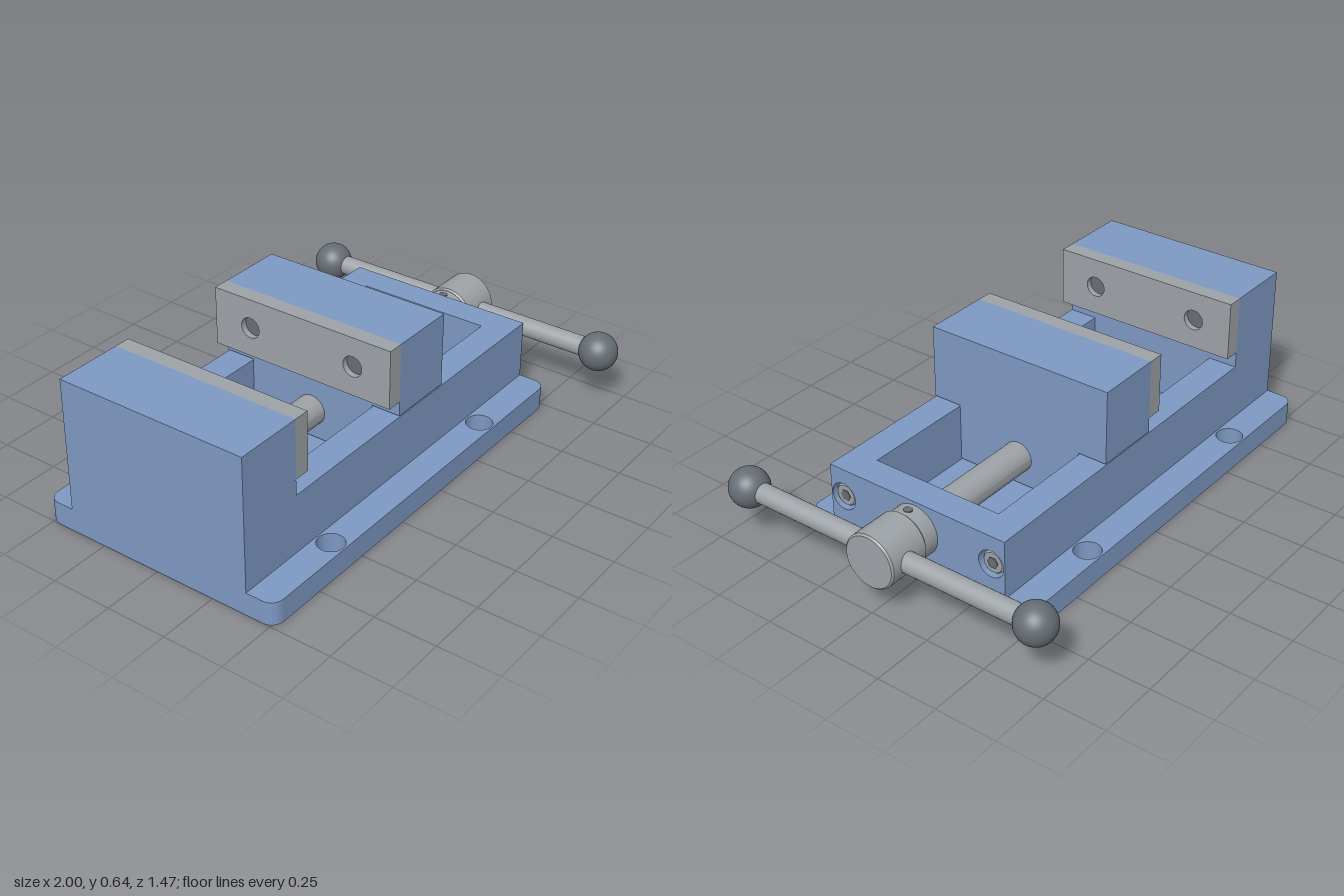
import * as THREE from 'three';
import { toCreasedNormals } from 'three/addons/utils/BufferGeometryUtils.js';

export function createModel() {
  const model = new THREE.Group();
  model.name = 'benchVise';
  const material = (name, color) => {
    const m = new THREE.MeshStandardMaterial({ color });
    m.name = name;
    return m;
  };
  const blue = material('bluePaint', 0x7d98c2);
  const steel = material('steel', 0x9da2a6);
  const dark = material('darkSteel', 0x666d74);

  const add = (name, geometry, mat, x = 0, y = 0, z = 0) => {
    const mesh = new THREE.Mesh(geometry, mat);
    mesh.name = name;
    mesh.position.set(x, y, z);
    model.add(mesh);
    return mesh;
  };
  // Box given by its limits
  const block = (name, mat, x0, x1, y0, y1, z0, z1) =>
    add(name, new THREE.BoxGeometry(x1 - x0, y1 - y0, z1 - z0), mat,
      (x0 + x1) / 2, (y0 + y1) / 2, (z0 + z1) / 2);
  const extrude = (shape, depth) => toCreasedNormals(
    new THREE.ExtrudeGeometry(shape, { depth, bevelEnabled: false, curveSegments: 24 }), 0.6);
  const hole = (shape, x, y, r) => {
    const path = new THREE.Path();
    path.absarc(x, y, r, 0, Math.PI * 2, true);
    shape.holes.push(path);
  };
  // Upright slab facing x, with a pair of round holes
  const drilledSlab = (name, mat, x0, x1, y0, y1, holeZ, holeY, r) => {
    const s = new THREE.Shape();
    s.moveTo(-0.4, y0);
    s.lineTo(0.4, y0);
    s.lineTo(0.4, y1);
    s.lineTo(-0.4, y1);
    s.closePath();
    for (const side of [-1, 1]) hole(s, side * holeZ, holeY, r);
    add(name, extrude(s, x1 - x0).rotateY(Math.PI / 2), mat, x0, 0, 0);
  };
  // Turned part along x; points are [radius, x]
  const turned = (name, mat, points, y, z = 0) => {
    const g = new THREE.LatheGeometry(points.map(([r, x]) => new THREE.Vector2(r, x)), 48);
    // map the lathe axis from +y to +x
    add(name, toCreasedNormals(g.rotateZ(-Math.PI / 2), 0.5), mat, 0, y, z);
  };

  // Base plate with rounded corners and four mounting holes
  const base = new THREE.Shape();
  const x0 = -1, x1 = 0.755, w = 0.52, r = 0.05;
  base.moveTo(x0 + r, -w);
  base.lineTo(x1 - r, -w);
  base.absarc(x1 - r, -w + r, r, -Math.PI / 2, 0);
  base.lineTo(x1, w - r);
  base.absarc(x1 - r, w - r, r, 0, Math.PI / 2);
  base.lineTo(x0 + r, w);
  base.absarc(x0 + r, w - r, r, Math.PI / 2, Math.PI);
  base.lineTo(x0, -w + r);
  base.absarc(x0 + r, -w + r, r, Math.PI, Math.PI * 1.5);
  for (const x of [-0.605, 0.355]) for (const z of [-0.46, 0.46]) hole(base, x, z, 0.053);
  add('basePlate', extrude(base, 0.095).rotateX(-Math.PI / 2), blue);

  // Body: fixed jaw, two rails and the end wall around an open channel
  block('fixedJaw', blue, -1, -0.72, 0.095, 0.64, -0.4, 0.4);
  block('leftRail', blue, -0.72, 0.635, 0.095, 0.335, 0.28, 0.4);
  block('rightRail', blue, -0.72, 0.635, 0.095, 0.335, -0.4, -0.28);
  block('endWall', blue, 0.635, 0.7, 0.095, 0.335, -0.4, 0.4);
  drilledSlab('endWallFace', blue, 0.7, 0.755, 0.095, 0.335, 0.34, 0.218, 0.055);

  // Moving jaw with the tongue that runs in the channel
  block('movingJaw', blue, -0.11, 0.165, 0.34, 0.64, -0.4, 0.4);
  block('movingJawTongue', blue, -0.11, 0.165, 0.1, 0.34, -0.278, 0.278);

  // Jaw plates with screws sunk in their holes
  drilledSlab('fixedJawPlate', steel, -0.72, -0.655, 0.4, 0.64, 0.235, 0.52, 0.042);
  drilledSlab('movingJawPlate', steel, -0.175, -0.11, 0.4, 0.64, 0.235, 0.52, 0.042);
  for (const z of [-0.235, 0.235]) {
    turned('fixedJawScrew', dark, [[0, -0.72], [0.042, -0.72], [0.042, -0.68], [0, -0.68]], 0.52, z);
    turned('movingJawScrew', dark, [[0, -0.15], [0.042, -0.15], [0.042, -0.11], [0, -0.11]], 0.52, z);
  }

  // Socket screws in the end wall
  for (const z of [-0.34, 0.34]) {
    turned('endScrew', steel,
      [[0, 0.7], [0.046, 0.7], [0.046, 0.738], [0.04, 0.745], [0, 0.745]], 0.218, z);
    const socket = new THREE.CylinderGeometry(0.023, 0.023, 0.004, 6).rotateZ(-Math.PI / 2);
    add('endScrewSocket', socket, dark, 0.746, 0.218, z);
  }

  // Lead screw, collar and head
  turned('leadScrew', steel,
    [[0, -0.64], [0.052, -0.64], [0.062, -0.63], [0.062, 0.76], [0, 0.76]], 0.218);
  turned('collar', steel, [[0, 0.755], [0.102, 0.755], [0.102, 0.82], [0, 0.82]], 0.218);
  turned('screwHead', steel,
    [[0, 0.82], [0.103, 0.82], [0.11, 0.827], [0.11, 0.993], [0.103, 1], [0, 1]], 0.218);
  add('collarPin', new THREE.CylinderGeometry(0.017, 0.017, 0.008, 20), dark, 0.788, 0.318, 0);

  // Handle bar with a ball at each end
  add('handleBar', new THREE.CylinderGeometry(0.04, 0.04, 1.24, 32).rotateX(Math.PI / 2),
    steel, 0.918, 0.218, 0);
  for (const z of [-0.657, 0.657])
    add('handleBall', new THREE.SphereGeometry(0.079, 40, 28), dark, 0.918, 0.218, z);

  return model;
}
